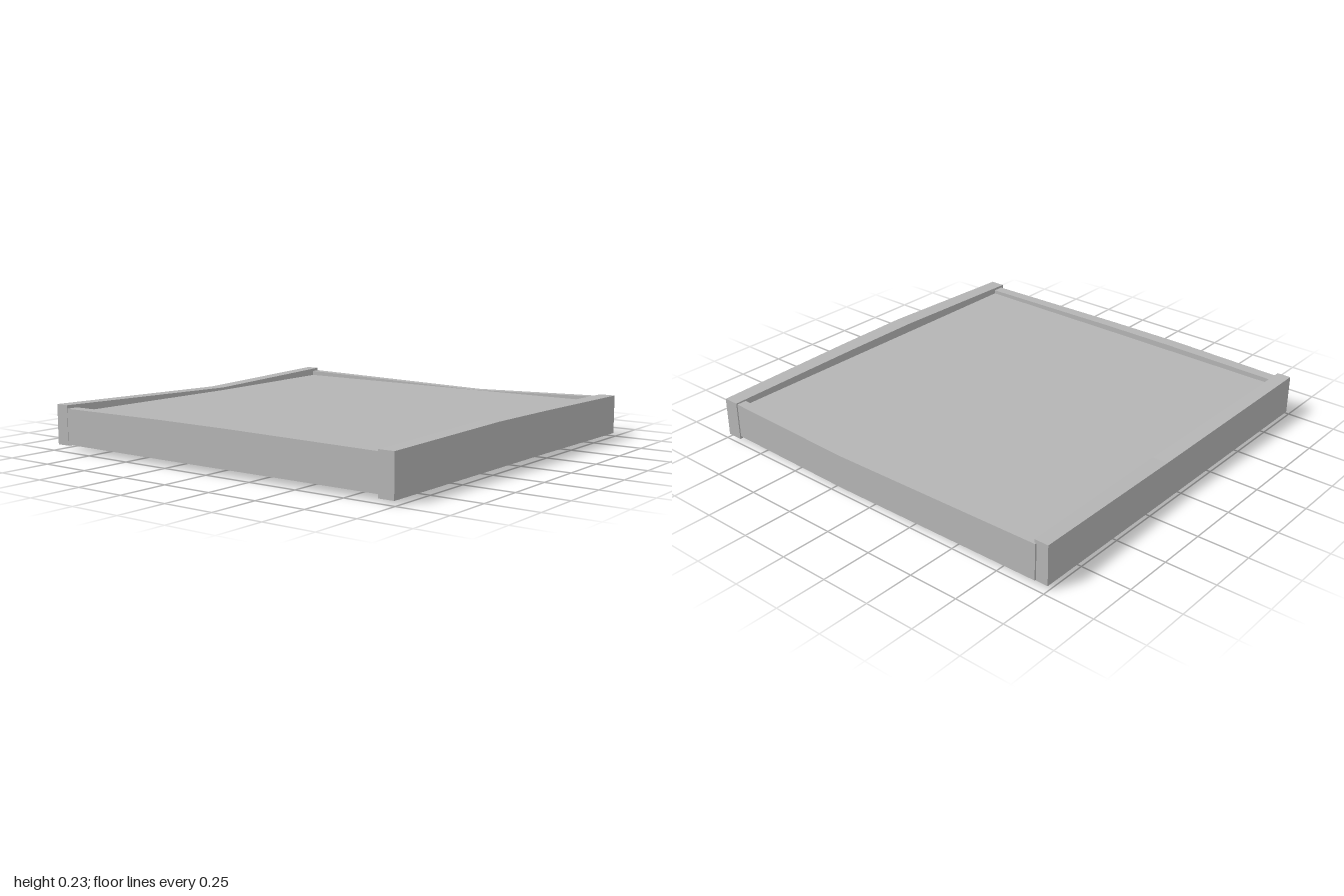
import * as THREE from 'three';

// Bar lofted through rectangular sections [t, inner/outer side a0, a1, bottom, top].
// along 'z': a = x, t = z.  along 'x': a = z, t = x.
function barGeometry(along, sections) {
  const alongZ = along === 'z';
  const rings = sections.map(([t, a0, a1, y0, y1]) =>
    [[a0, y0], [a1, y0], [a1, y1], [a0, y1]].map(([a, y]) =>
      alongZ ? [a, y, t] : [t, y, a]));
  const pos = [];
  const tri = (a, b, c) => pos.push(...a, ...(alongZ ? b : c), ...(alongZ ? c : b));
  const quad = (a, b, c, d) => { tri(a, b, c); tri(a, c, d); };
  for (let i = 0; i < rings.length - 1; i++) {
    const p = rings[i], q = rings[i + 1];
    for (let k = 0; k < 4; k++) {
      const n = (k + 1) % 4;
      quad(p[k], p[n], q[n], q[k]);
    }
  }
  const first = rings[0], last = rings[rings.length - 1];
  quad(first[3], first[2], first[1], first[0]);
  quad(last[0], last[1], last[2], last[3]);
  const geometry = new THREE.BufferGeometry();
  geometry.setAttribute('position', new THREE.Float32BufferAttribute(pos, 3));
  geometry.computeVertexNormals();
  return geometry;
}

export function createModel() {
  const group = new THREE.Group();
  const grey = new THREE.MeshStandardMaterial({ color: 0xb4b4b4, flatShading: true });
  grey.name = 'plain grey';

  const add = (name, geometry) => {
    const mesh = new THREE.Mesh(geometry, grey);
    mesh.name = name;
    group.add(mesh);
    return mesh;
  };

  // Side rails run the full depth, slightly warped
  add('sideRailNegativeX', barGeometry('z', [
    [-0.975, -1.0, -0.93, 0.03, 0.227],
    [-0.1, -0.98, -0.9, 0.005, 0.202],
    [0.97, -1.0, -0.93, 0.03, 0.227],
  ]));
  add('sideRailPositiveX', barGeometry('z', [
    [-0.988, 0.915, 0.995, 0.022, 0.217],
    [-0.2, 0.912, 1.0, 0.028, 0.231],
    [0.2, 0.91, 1.0, 0.028, 0.235],
    [0.985, 0.907, 0.985, 0.022, 0.219],
  ]));

  // Front and back rails fit between the side rails
  add('frontRail', barGeometry('x', [
    [-0.94, 0.91, 0.968, 0.035, 0.21],
    [-0.3, 0.912, 0.976, 0.036, 0.217],
    [0.1, 0.914, 0.975, 0.036, 0.216],
    [0.915, 0.914, 0.97, 0.035, 0.207],
  ]));
  add('backRail', barGeometry('x', [
    [-0.94, -0.984, -0.932, 0.035, 0.212],
    [0.2, -0.98, -0.928, 0.02, 0.189],
    [0.92, -0.982, -0.932, 0.035, 0.21],
  ]));

  // Flat panel set into the frame
  const panel = add('panel', new THREE.BoxGeometry(1.86, 0.07, 1.87));
  panel.position.set(-0.01, 0.153, -0.01);

  return group;
}
